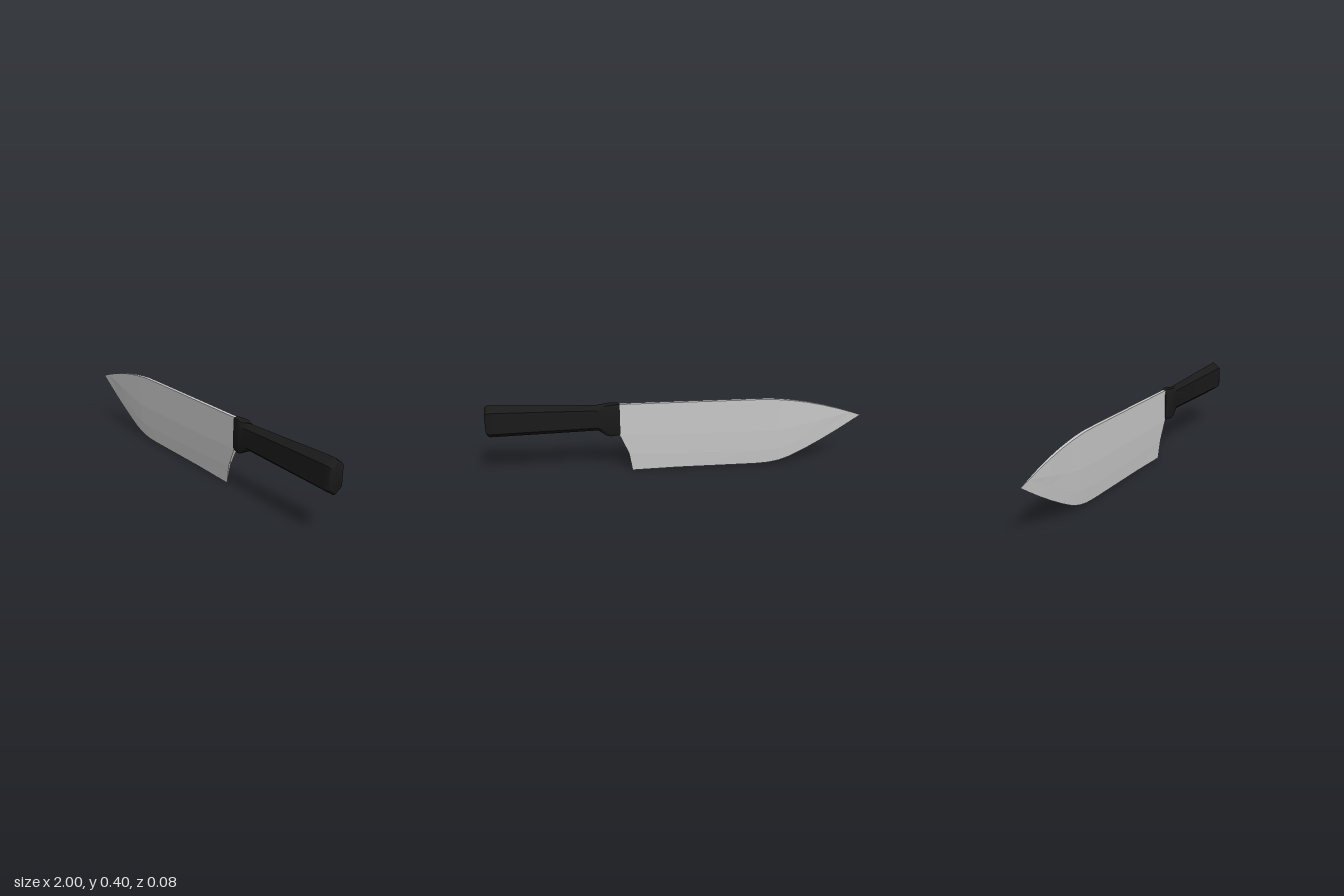
import * as THREE from 'three';
import { toCreasedNormals } from 'three/addons/utils/BufferGeometryUtils.js';

// Skin a row of closed rings (each running top -> +z -> bottom -> -z) along +x, with capped ends.
function loft(rings, crease) {
  const out = [];
  const tri = (a, b, c) => {
    const t = new THREE.Triangle(a, b, c);
    if (t.getArea() > 1e-9) [a, b, c].forEach((p) => out.push(p.x, p.y, p.z));
  };
  const n = rings[0].length;
  for (let i = 0; i < rings.length - 1; i++) {
    const r = rings[i], s = rings[i + 1];
    for (let j = 0; j < n; j++) {
      const k = (j + 1) % n;
      tri(r[j], r[k], s[j]);
      tri(r[k], s[k], s[j]);
    }
  }
  const first = rings[0], last = rings[rings.length - 1];
  for (let j = 1; j < n - 1; j++) {
    tri(first[0], first[j + 1], first[j]);
    tri(last[0], last[j], last[j + 1]);
  }
  const geo = new THREE.BufferGeometry();
  geo.setAttribute('position', new THREE.Float32BufferAttribute(out, 3));
  geo.computeVertexNormals();
  return crease ? toCreasedNormals(geo, crease) : geo;
}

const V = (x, y, z) => new THREE.Vector3(x, y, z);

// Blade cross-section: square spine, flat cheeks, bevel down to a sharp edge.
// xs gives the x of spine, mid, bevel and edge, so that the heel can slant.
function bladeRing(xs, spine, mid, bevel, edge, w) {
  const side = (s) => [
    V(xs[0], spine, s * w),
    V(xs[1], mid, s * w * 0.97),
    V(xs[2], bevel, s * w * 0.55),
  ];
  return [...side(1), V(xs[3], edge, 0), ...side(-1).reverse()];
}

// Handle cross-section: ridged top and bottom; "flat" squares it off for the collar.
function handleRing([x, bottom, top, w, d, flat]) {
  const e = flat ? 0 : d / 2, c = flat ? 0.75 : 0.5;
  const half = [
    [c * w, top - e], [w, top - d], [w, bottom + d], [c * w, bottom + e],
  ];
  return [
    V(x, top, 0),
    ...half.map(([z, y]) => V(x, y, z)),
    V(x, bottom, 0),
    ...half.map(([z, y]) => V(x, y, -z)).reverse(),
  ];
}

export function createModel() {
  const model = new THREE.Group();
  model.name = 'kitchenKnife';

  // Blade stations: x, spine y, bevel y, edge y, half thickness
  const stations = [
    [-1, 0.275, 0.275, 0.275, 0.001],
    [-0.945, 0.294, 0.293, 0.237, 0.003],
    [-0.87, 0.318, 0.25, 0.187, 0.005],
    [-0.79, 0.34, 0.206, 0.137, 0.007],
    [-0.7, 0.36, 0.158, 0.085, 0.008],
    [-0.62, 0.373, 0.118, 0.044, 0.009],
    [-0.56, 0.38, 0.098, 0.023, 0.01],
    [-0.5, 0.385, 0.09, 0.012, 0.01],
    [-0.43, 0.386, 0.088, 0.008, 0.01],
    [0, 0.386, 0.092, 0.006, 0.01],
  ];
  const bladeRings = stations.map(([x, spine, bevel, edge, w]) =>
    bladeRing([x, x, x, x], spine, bevel + (spine - bevel) * 0.39, bevel, edge, w));
  bladeRings.push(bladeRing([0.31, 0.31, 0.262, 0.245], 0.386, 0.213, 0.103, 0, 0.01));
  const blade = new THREE.Mesh(
    loft(bladeRings),
    new THREE.MeshStandardMaterial({ color: 0xcccccc }),
  );
  blade.name = 'blade';
  model.add(blade);

  // Handle stations: x, bottom y, top y, half width, shoulder drop, squared collar
  const handleRings = [
    [0.305, 0.216, 0.386, 0.014, 0.012, true],
    [0.315, 0.213, 0.388, 0.018, 0.015, true],
    [0.355, 0.213, 0.387, 0.032, 0.02, true],
    [0.38, 0.22, 0.384, 0.032, 0.022, true],
    [0.42, 0.24, 0.385, 0.027, 0.024, false],
    [0.7, 0.232, 0.395, 0.034, 0.028, false],
    [0.95, 0.225, 0.403, 0.042, 0.031, false],
    [0.982, 0.224, 0.403, 0.042, 0.031, false],
    [0.996, 0.231, 0.396, 0.039, 0.03, false],
    [1, 0.238, 0.389, 0.035, 0.029, false],
  ].map(handleRing);
  const handle = new THREE.Mesh(
    loft(handleRings, 0.75),
    new THREE.MeshStandardMaterial({ color: 0x1a1a1a }),
  );
  handle.name = 'handle';
  model.add(handle);

  return model;
}
